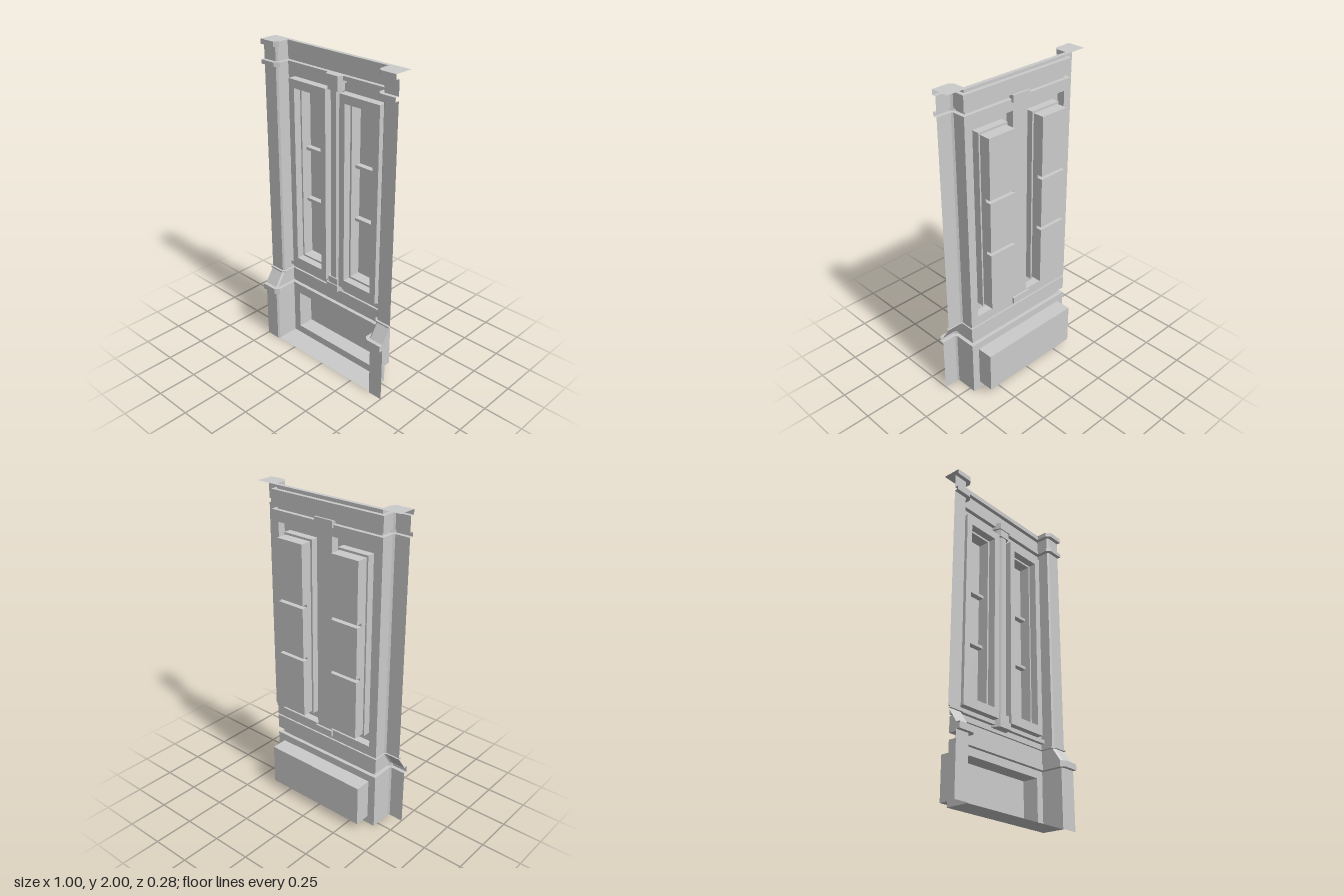
import * as THREE from 'three';

const WALL = -0.037; // plane of the wall between the pilasters
const material = new THREE.MeshStandardMaterial({
  color: 0xcccccc, side: THREE.DoubleSide, flatShading: true,
});

function add(group, name, geometry) {
  const mesh = new THREE.Mesh(geometry, material);
  mesh.name = name;
  group.add(mesh);
  return mesh;
}

// Surface through successive rows of points, flat shaded
function sheet(rows) {
  const pos = [];
  for (let i = 0; i < rows.length - 1; i++) {
    for (let j = 0; j < rows[i].length - 1; j++) {
      const a = rows[i][j], b = rows[i][j + 1];
      const c = rows[i + 1][j + 1], d = rows[i + 1][j];
      pos.push(...a, ...b, ...c, ...a, ...c, ...d);
    }
  }
  const g = new THREE.BufferGeometry();
  g.setAttribute('position', new THREE.Float32BufferAttribute(pos, 3));
  g.computeVertexNormals();
  return g;
}

// Closed rectangle, counter-clockwise seen from the front
const ring = (x0, x1, y0, y1, z) =>
  [[x0, y0, z], [x1, y0, z], [x1, y1, z], [x0, y1, z], [x0, y0, z]];

const rectPoints = (x0, x1, y0, y1) =>
  ring(x0, x1, y0, y1, 0).slice(0, 4).map(([x, y]) => new THREE.Vector2(x, y));

// Flat wall panel with rectangular holes
function wallPanel(x0, x1, y0, y1, holes) {
  const shape = new THREE.Shape(rectPoints(x0, x1, y0, y1));
  for (const h of holes) shape.holes.push(new THREE.Path(rectPoints(...h)));
  return new THREE.ShapeGeometry(shape).translate(0, 0, WALL);
}

// Plan of the right-hand pilaster: front, chamfer, side; "off" is the moulding projection
const pilasterPlan = (depth, off) => [
  [0.5, depth + off],
  [0.407 - 0.41 * off, depth + off],
  [0.397 - off, depth - 0.01 + 0.41 * off],
  [0.397 - off, WALL + off],
];

// Mirrored plan (x, z) raised from y0 to y1
function prism(half, y0, y1) {
  const plan = [...half, ...half.map(([x, z]) => [-x, z]).reverse()];
  const shape = new THREE.Shape(plan.map(([x, z]) => new THREE.Vector2(x, -z)));
  return new THREE.ExtrudeGeometry(shape, { depth: y1 - y0, bevelEnabled: false })
    .rotateX(-Math.PI / 2).translate(0, y0, 0);
}

// Height, pilaster depth, projection
const levels = [
  [0, 0.115, 0], [0.36, 0.115, 0], [0.36, 0.115, 0.024], [0.398, 0.115, 0.024],
  [0.398, 0.115, 0], [0.49, 0.055, 0], [0.49, 0.053, 0.013], [0.5, 0.053, 0.013],
  [0.5, 0.053, 0], [1.855, 0.053, 0], [1.855, 0.053, 0.025], [1.88, 0.053, 0.025],
  [1.88, 0.053, 0], [1.97, 0.053, 0], [1.97, 0.053, 0.025], [2, 0.053, 0.025],
];

function addPilaster(group, side) {
  const rows = levels.map(([y, d, off]) =>
    pilasterPlan(d, off).map(([x, z]) => [side * x, y, z]));
  if (side > 0) rows.forEach((r) => r.reverse());
  add(group, side > 0 ? 'leftPilaster' : 'rightPilaster', sheet(rows));
}

// Raised hollow frame, stepped reveal and deep recess divided by two bars
function addWindow(group, side) {
  const win = new THREE.Group();
  win.name = side > 0 ? 'leftWindow' : 'rightWindow';
  const span = (a, b) => (side > 0 ? [a, b] : [-b, -a]);
  const outer = [...span(0.054, 0.345), 0.562, 1.788];
  const inner = [...span(0.094, 0.303), 0.618, 1.737];
  const deep = [...span(0.106, 0.293), 0.63, 1.724];
  add(win, 'windowFrame', sheet([
    ring(...outer, WALL), ring(...outer, 0.013),
    ring(...inner, 0.013), ring(...inner, -0.035), ring(...deep, -0.035),
  ]));

  // Side profile (y, z) of the recess, notched forward at each bar
  const profile = [[deep[2], -0.035], [deep[2], -0.106]];
  for (const y of [1.0, 1.337]) {
    profile.push([y, -0.106], [y, -0.07], [y + 0.019, -0.07], [y + 0.019, -0.106]);
  }
  profile.push([deep[3], -0.106], [deep[3], -0.035]);
  add(win, 'windowBackAndBars', sheet(profile.map(([y, z]) =>
    [[deep[0], y, z], [deep[1], y, z]])));
  const cheek = new THREE.Shape(profile.map(([y, z]) => new THREE.Vector2(-z, y)));
  for (const x of [deep[0], deep[1]]) {
    add(win, 'windowReveal',
      new THREE.ShapeGeometry(cheek).rotateY(Math.PI / 2).translate(x, 0, 0));
  }
  group.add(win);
}

export function createModel() {
  const model = new THREE.Group();
  model.name = 'facadeBay';

  for (const side of [-1, 1]) {
    addPilaster(model, side);
    addWindow(model, side);
  }

  // Mouldings and plain bands between the pilasters; open spans are the panelled walls
  const bandRows = (from, to) => levels.slice(from, to).map(([y, , off]) =>
    [-1, 1].map((s) => [s * (0.397 - off), y, WALL + off]));
  add(model, 'lowerBands', sheet(bandRows(1, 9)));
  add(model, 'cornice', sheet(bandRows(9, 16)));

  // Walls with openings
  add(model, 'upperWall', wallPanel(-0.397, 0.397, 0.5, 1.855,
    [[0.054, 0.345, 0.562, 1.788], [-0.345, -0.054, 0.562, 1.788]]));
  const panel = [-0.347, 0.347, 0.05, 0.312];
  add(model, 'lowerWall', wallPanel(-0.397, 0.397, 0, 0.36, [panel]));

  // Deep recessed panel in the base
  add(model, 'basePanelReveal', sheet([ring(...panel, WALL), ring(...panel, -0.14)]));
  add(model, 'basePanelBack', wallPanel(...panel, []).translate(0, 0, -0.14 - WALL));

  // Window sill
  const sill = new THREE.BoxGeometry(0.79, 0.024, 0.024);
  add(model, 'windowSill', sill.translate(0, 0.542, WALL + 0.012));

  // Central column with matching capital and foot
  const shaft = [[0.03, WALL], [0.03, -0.012], [0.02, 0.003]];
  const wide = [[0.064, -0.05], [0.064, -0.037], [0.057, -0.012], [0.045, 0.017]];
  const neck = [[0.05, WALL], [0.047, -0.012], [0.036, 0.01]];
  add(model, 'columnShaft', prism(shaft, 0.595, 1.795));
  add(model, 'columnCapital', prism(wide, 1.838, 1.88));
  add(model, 'columnNeck', prism(neck, 1.79, 1.838));
  add(model, 'columnFoot', prism(wide, 0.517, 0.557));
  add(model, 'columnFootNeck', prism(neck, 0.557, 0.6));

  // Thin top sheet following the cornice
  const half = [[0.5, WALL], ...pilasterPlan(0.053, 0.025)];
  const plan = [...half, ...half.map(([x, z]) => [-x, z]).reverse()];
  const top = new THREE.Shape(plan.map(([x, z]) => new THREE.Vector2(x, -z)));
  add(model, 'topSheet', new THREE.ShapeGeometry(top).rotateX(-Math.PI / 2).translate(0, 2, 0));

  // Ground strip between the pilaster bases
  add(model, 'floorStrip', sheet([
    [[-0.397, 0, 0.107], [0.397, 0, 0.107]],
    [[-0.397, 0, WALL], [0.397, 0, WALL]],
  ]));

  return model;
}
